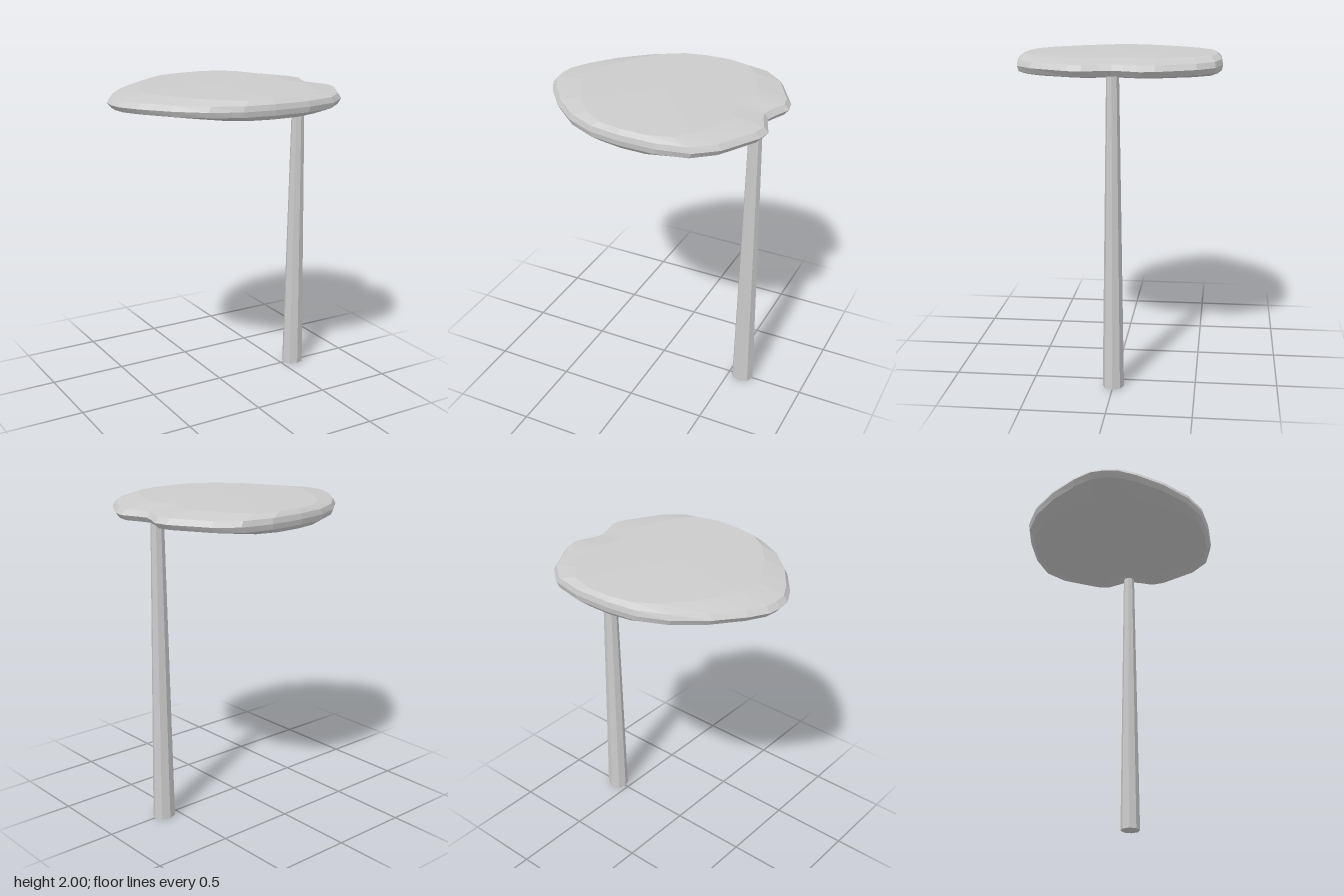
import * as THREE from 'three';

// Half of the leaf outline (x, z), from the pointed tip round to the notch
const HALF = [
  [-0.735, 0], [-0.725, 0.085], [-0.66, 0.2], [-0.53, 0.36], [-0.36, 0.505],
  [-0.18, 0.59], [0.02, 0.62], [0.25, 0.625], [0.45, 0.585], [0.58, 0.48],
  [0.715, 0.25], [0.732, 0.165], [0.69, 0.07], [0.668, 0],
];
const OUTLINE = [...HALF, ...HALF.slice(1, -1).reverse().map(([x, z]) => [x, -z])];

// Cross-sections from top to bottom: height offset, x scale, z scale
const RINGS = [
  [0.065, 0, 0], [0.059, 0.7, 0.95], [0.033, 0.96, 0.99], [0, 1, 1],
  [-0.033, 0.96, 0.99], [-0.059, 0.7, 0.95], [-0.065, 0, 0],
];

function leafGeometry() {
  const n = OUTLINE.length, pos = [], index = [];
  for (const [y, sx, sz] of RINGS)
    for (const [x, z] of OUTLINE) pos.push(x * sx, y, z * sz);
  for (let r = 0; r < RINGS.length - 1; r++) {
    for (let i = 0; i < n; i++) {
      const a = r * n + i, b = r * n + (i + 1) % n, c = a + n, d = b + n;
      if (r > 0) index.push(a, d, b);
      if (r === 0) index.push(a, c, d);
      else if (r < RINGS.length - 2) index.push(a, c, d);
    }
  }
  const g = new THREE.BufferGeometry();
  g.setAttribute('position', new THREE.Float32BufferAttribute(pos, 3));
  g.setIndex(index);
  g.computeVertexNormals();
  return g;
}

export function createModel() {
  const group = new THREE.Group();
  const material = new THREE.MeshStandardMaterial({ color: 0xcccccc, flatShading: true });

  // Thick, rounded leaf pad lying flat
  const leaf = new THREE.Mesh(leafGeometry(), material);
  leaf.name = 'leafPad';
  leaf.position.y = 1.935;

  // Tapered eight-sided stem below the notch
  const stem = new THREE.Mesh(new THREE.CylinderGeometry(0.042, 0.073, 1.9, 8), material);
  stem.name = 'stem';
  stem.scale.z = 0.9;
  stem.position.set(0.593, 0.95, 0);

  group.add(leaf, stem);
  return group;
}
